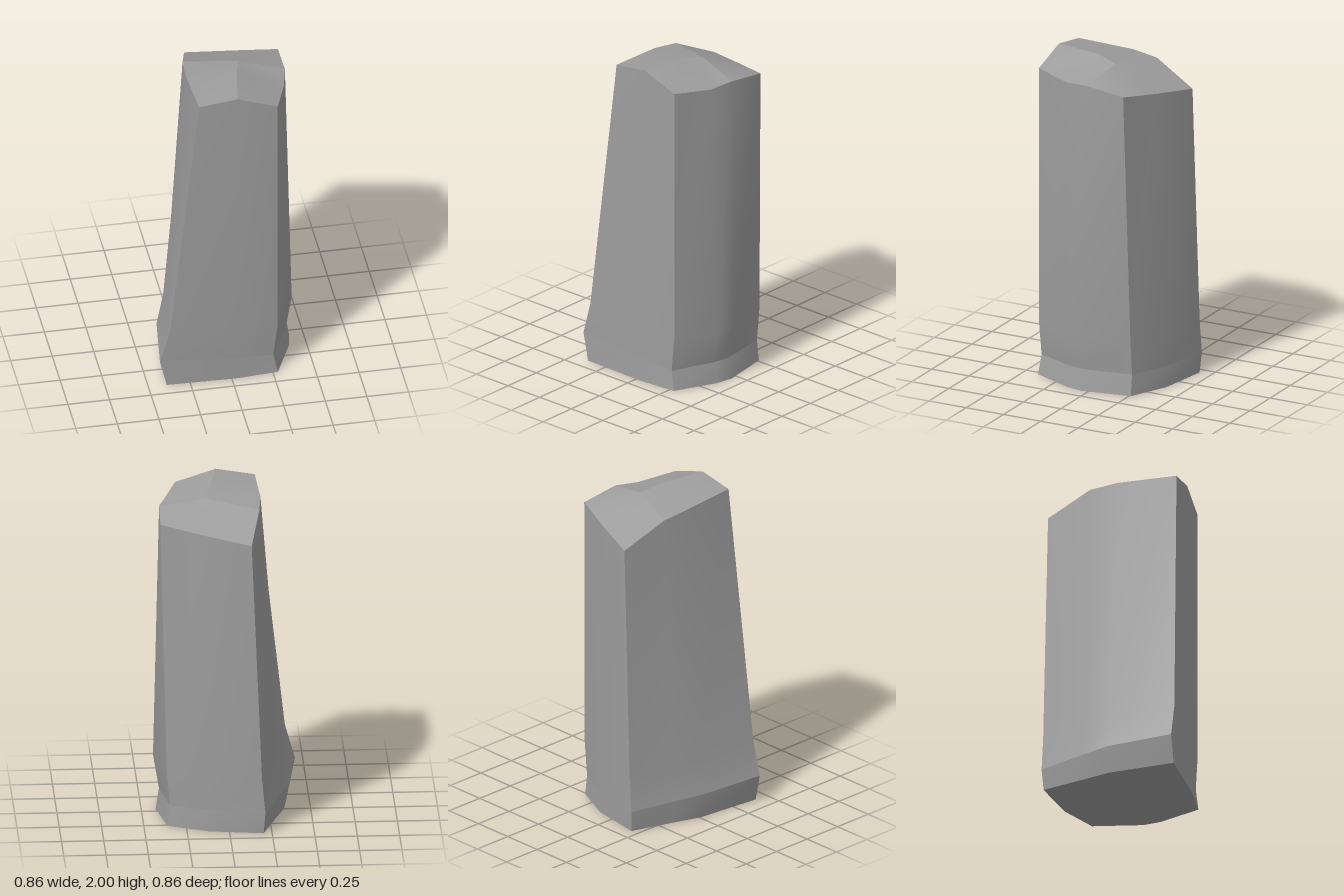
import * as THREE from 'three';
import { toCreasedNormals } from 'three/addons/utils/BufferGeometryUtils.js';

// Cross-sections from base to rim, each running counterclockwise from the front left edge as seen from the front
const base = [
  [-0.39, 0, 0.415], [0.03, 0, 0.425], [0.28, 0, 0.405], [0.395, 0, 0.15], [0.415, 0, 0.04],
  [0.36, 0, -0.26], [0.12, 0, -0.37], [-0.2, 0, -0.42], [-0.29, 0, -0.15], [-0.345, 0, 0.01],
];
const foot = [
  [-0.43, 0.17, 0.41], [0.03, 0.15, 0.423], [0.255, 0.12, 0.395], [0.375, 0.13, 0.15], [0.395, 0.13, 0.04],
  [0.345, 0.13, -0.26], [0.12, 0.13, -0.365], [-0.21, 0.13, -0.43], [-0.315, 0.15, -0.15], [-0.375, 0.16, 0.01],
];
const waist = [
  [-0.37, 0.38, 0.415], [0.03, 0.36, 0.422], [0.28, 0.34, 0.4], [0.41, 0.34, 0.15], [0.43, 0.34, 0.04],
  [0.365, 0.34, -0.26], [0.12, 0.34, -0.37], [-0.19, 0.34, -0.425], [-0.285, 0.36, -0.15], [-0.335, 0.37, 0.01],
];
const rim = [
  [-0.19, 1.965, 0.385], [0.04, 2, 0.395], [0.28, 1.92, 0.4], [0.36, 1.895, 0.17], [0.395, 1.91, 0.02],
  [0.4, 1.88, -0.23], [0.15, 1.84, -0.32], [-0.13, 1.8, -0.41], [-0.19, 1.93, -0.14], [-0.205, 1.95, 0.03],
];
const n = base.length;

// Geometry from points and triangles, smooth across shallow angles and sharp at corners
function facets(points, triangles) {
  const g = new THREE.BufferGeometry();
  const data = triangles.flatMap((t) => t.flatMap((i) => points[i]));
  g.setAttribute('position', new THREE.Float32BufferAttribute(data, 3));
  return toCreasedNormals(g, 0.55);
}

// Skin between stacked cross-sections
function skin(rings) {
  const triangles = [];
  for (let r = 0; r < rings.length - 1; r++) {
    for (let i = 0; i < n; i++) {
      const a = r * n + i, b = r * n + (i + 1) % n;
      triangles.push([a, b, b + n], [a, b + n, a + n]);
    }
  }
  return facets(rings.flat(), triangles);
}

export function createModel() {
  const group = new THREE.Group();
  group.name = 'rockPillar';
  const material = new THREE.MeshStandardMaterial({ color: 0x9d9d9d });
  const add = (name, geometry) => {
    const mesh = new THREE.Mesh(geometry, material);
    mesh.name = name;
    group.add(mesh);
  };

  // Flared foot and tapering shaft, with a hard crease between them
  add('foot', skin([base, foot]));
  add('shaft', skin([foot, waist, rim]));

  // Top of three sloping faces meeting at a short ridge (points 10 and 11)
  const top = [...rim, [0.125, 1.97, -0.03], [0.09, 2, 0.1]];
  add('topRightSlope', facets(top, [[1, 2, 11], [2, 3, 11], [3, 10, 11], [3, 4, 10]]));
  add('topBackSlope', facets(top, [[4, 5, 10], [5, 6, 10], [6, 7, 10], [7, 8, 10]]));
  add('topLeftSlope', facets(top, [[8, 9, 10], [9, 11, 10], [9, 0, 11], [0, 1, 11]]));

  // Flat underside
  add('underside', facets([...base, [0, 0, 0]], base.map((_, i) => [n, (i + 1) % n, i])));
  return group;
}
